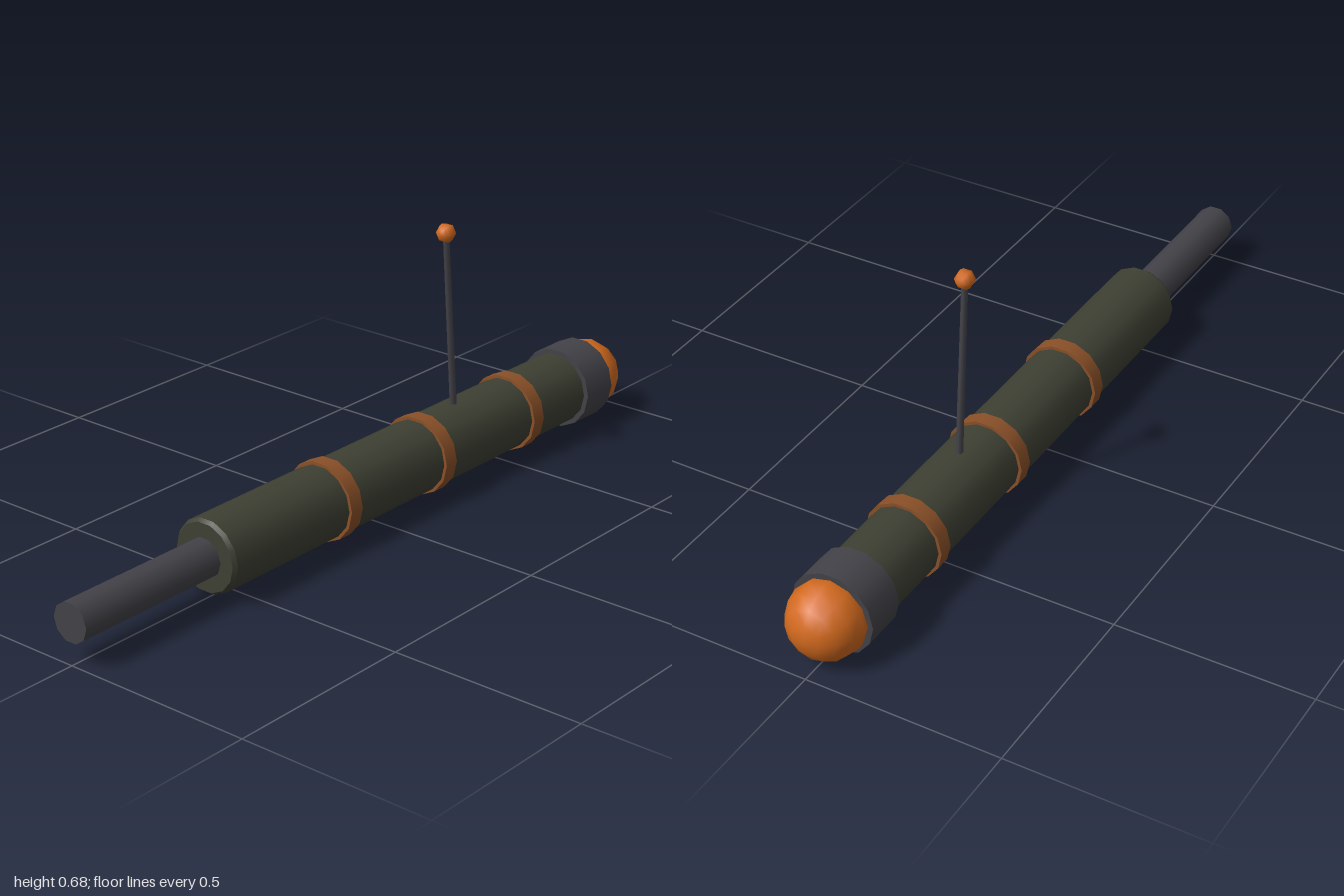
import * as THREE from 'three';

const AXIS_Y = 0.109;

function material(name, color) {
  const m = new THREE.MeshStandardMaterial({ color });
  m.name = name;
  return m;
}

export function createModel() {
  const olive = material('olive', 0x3e4033);
  const grey = material('dark grey', 0x434248);
  const brown = material('brown', 0x8a5028);
  const orange = material('orange', 0xd2691e);
  const group = new THREE.Group();

  const add = (name, geometry, mat, x, y, z) => {
    const mesh = new THREE.Mesh(geometry, mat);
    mesh.name = name;
    mesh.position.set(x, y, z);
    group.add(mesh);
    return mesh;
  };

  // Cylinder along z, from zBack to zFront, with corners at its sides
  const barrel = (name, mat, sides, zBack, zFront, rBack, rFront = rBack, open = false) => {
    const g = new THREE.CylinderGeometry(rFront, rBack, zFront - zBack, sides, 1, open, Math.PI / 2);
    g.rotateX(Math.PI / 2);
    return add(name, g, mat, 0, AXIS_Y, (zBack + zFront) / 2);
  };

  // Main tube with a small bevel at the front
  barrel('body', olive, 14, -0.8, 0.565, 0.094);
  barrel('bodyBevel', olive, 14, 0.565, 0.575, 0.094, 0.087);

  // Front rod
  barrel('rod', grey, 10, 0.5, 1, 0.05);

  // Bands around the tube
  [0.155, -0.207, -0.57].forEach((z, i) =>
    barrel(`band${i + 1}`, brown, 14, z - 0.02, z + 0.02, 0.102));

  // Rear collar and rounded cap
  barrel('collar', grey, 14, -0.885, -0.778, 0.107);
  const dome = new THREE.SphereGeometry(0.097, 12, 8);
  dome.rotateX(Math.PI / 2);
  add('cap', dome, orange, 0, AXIS_Y, -0.903);

  // Antenna, leaning slightly forward, with a ball on top
  const foot = new THREE.Vector3(0, 0.18, -0.342);
  const tip = new THREE.Vector3(0, 0.661, -0.303);
  const mid = foot.clone().add(tip).multiplyScalar(0.5);
  const antenna = add('antenna',
    new THREE.CylinderGeometry(0.008, 0.009, foot.distanceTo(tip), 6), grey, mid.x, mid.y, mid.z);
  antenna.rotation.x = Math.atan2(tip.z - foot.z, tip.y - foot.y);
  const ball = new THREE.SphereGeometry(0.025, 6, 6);
  ball.rotateX(Math.PI / 2);
  add('antennaBall', ball, orange, tip.x, tip.y, tip.z);

  return group;
}
